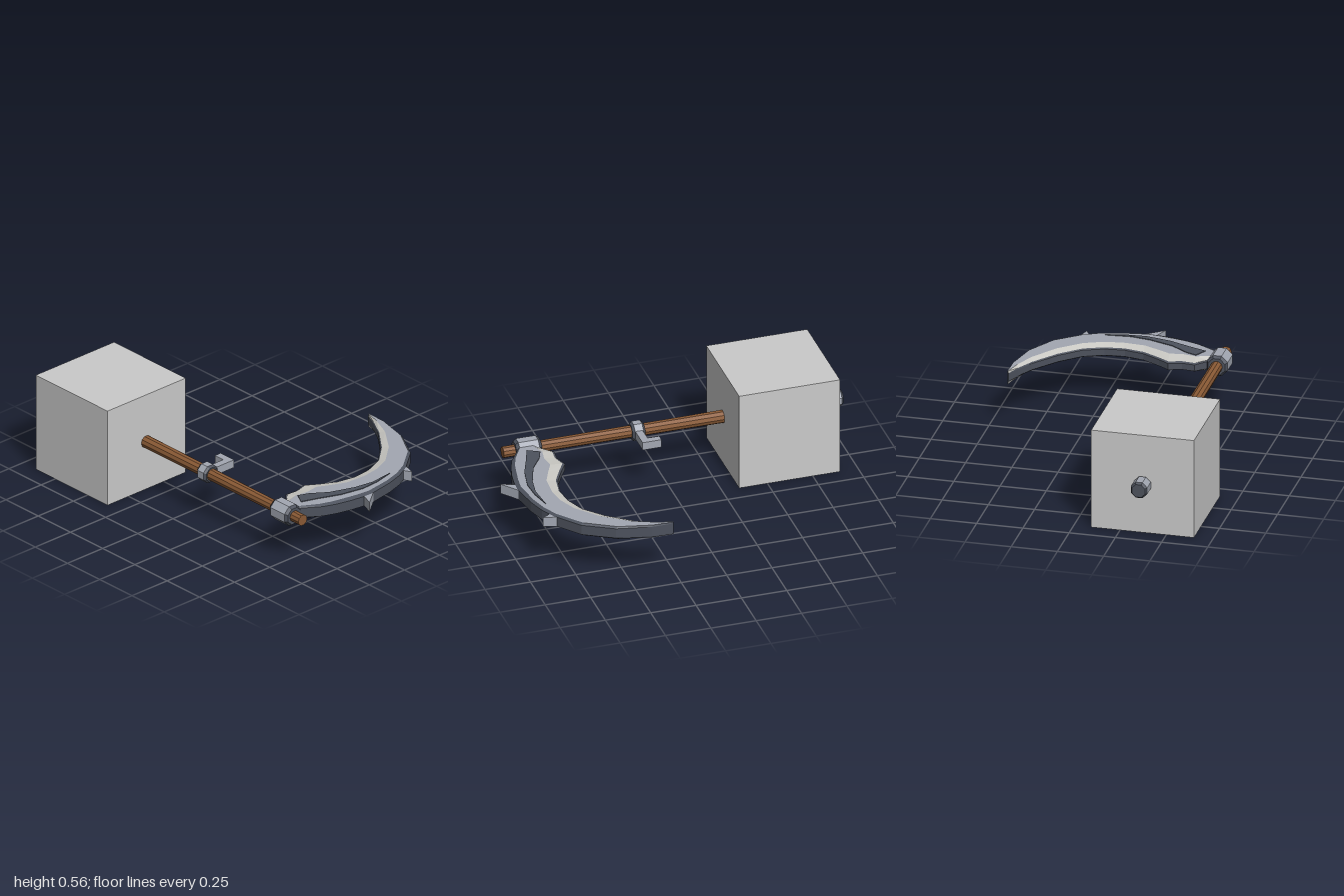
import * as THREE from 'three';

const mat = (name, color, flat = true) => {
  const m = new THREE.MeshStandardMaterial({ color, flatShading: flat });
  m.name = name;
  return m;
};

export function createModel() {
  const wood = mat('wood', 0x8a5a35);
  const steel = mat('steel', 0xa2a7b2);
  const darkSteel = mat('dark steel', 0x4d525d);
  const edgeSteel = mat('ground edge', 0xcac9c4);
  const grey = mat('block grey', 0xcacaca);
  const model = new THREE.Group();
  const Y = 0.28, Z = 0.375; // shaft axis

  const add = (name, geo, material, x = 0, y = 0, z = 0, parent = model) => {
    const m = new THREE.Mesh(geo, material);
    m.name = name;
    m.position.set(x, y, z);
    parent.add(m);
    return m;
  };

  // Block around the lower shaft
  add('block', new THREE.BoxGeometry(0.556, 0.556, 0.556), grey, -0.622, 0.278, 0.372);

  // Slightly tapering shaft along x
  const shaft = new THREE.CylinderGeometry(0.031, 0.037, 1.77, 10).rotateZ(-Math.PI / 2);
  add('shaft', shaft, wood, -0.015, Y, Z);

  // Octagonal collars with chamfered ends
  const collar = (name, x0, x1, r, chamfer) => {
    const g = new THREE.Group();
    g.name = name;
    g.position.set((x0 + x1) / 2, Y, Z);
    model.add(g);
    const len = x1 - x0, body = len - 2 * chamfer;
    const turn = geo => geo.rotateY(Math.PI / 8).rotateZ(-Math.PI / 2);
    add(name + 'Body', turn(new THREE.CylinderGeometry(r, r, body, 8, 1, true)), steel, 0, 0, 0, g);
    for (const s of [-1, 1]) {
      const top = s > 0 ? r * 0.8 : r, bottom = s > 0 ? r : r * 0.8;
      add(name + 'End', turn(new THREE.CylinderGeometry(top, bottom, chamfer, 8)), darkSteel,
        s * (body + chamfer) / 2, 0, 0, g);
    }
  };
  collar('pommel', -1, -0.9, 0.048, 0.012);
  collar('gripCollar', 0.095, 0.165, 0.053, 0.012);
  collar('bladeCollar', 0.665, 0.805, 0.061, 0.016);

  // Bent side grip
  add('gripArm', new THREE.BoxGeometry(0.04, 0.045, 0.13), steel, 0.132, Y, 0.27);
  add('gripHandle', new THREE.BoxGeometry(0.104, 0.045, 0.04), steel, 0.1, Y, 0.225);

  // Blade stations: inner x, z, outer x, z
  const stations = [
    [0.684, 0.325, 0.79, 0.345], [0.62, 0.267, 0.866, 0.23], [0.626, 0.198, 0.893, 0.16],
    [0.604, 0.128, 0.914, 0.08], [0.642, 0.07, 0.925, 0.01], [0.695, -0.027, 0.93, -0.06],
    [0.717, -0.134, 0.904, -0.214], [0.706, -0.24, 0.875, -0.31], [0.663, -0.348, 0.834, -0.39],
    [0.567, -0.455, 0.727, -0.524], [0.433, -0.561, 0.567, -0.615], [0.34, -0.615, 0.38, -0.655],
    [0.262, -0.648, 0.262, -0.654],
  ];
  // Cross-section: fraction from inner to outer edge, height
  const upper = [[0, 0.018], [0.05, 0.024], [0.28, 0.037], [0.91, 0.037], [1, 0.028]];
  const ring = [...upper, ...upper.map(([t, h]) => [t, -h]).reverse()];
  const n = ring.length;
  const point = (i, k) => {
    const [ix, iz, ox, oz] = stations[i], [t, h] = ring[k % n];
    return [ix + (ox - ix) * t, Y + h, iz + (oz - iz) * t];
  };
  const mesh = (name, pos, material) => {
    const geo = new THREE.BufferGeometry();
    geo.setAttribute('position', new THREE.Float32BufferAttribute(pos, 3));
    geo.computeVertexNormals();
    add(name, geo, material);
  };
  const bands = (name, ks, material, caps = false) => {
    const pos = [], last = stations.length - 1;
    for (const k of ks) for (let i = 0; i < last; i++) {
      const a = point(i, k), b = point(i, k + 1), c = point(i + 1, k + 1), d = point(i + 1, k);
      pos.push(...a, ...b, ...c, ...a, ...c, ...d);
    }
    if (caps) for (let k = 1; k < n - 1; k++) {
      pos.push(...point(0, 0), ...point(0, k + 1), ...point(0, k));
      pos.push(...point(last, 0), ...point(last, k), ...point(last, k + 1));
    }
    mesh(name, pos, material);
  };
  bands('bladeRim', [0, 3, 4, 5, 8, 9], darkSteel, true);
  bands('bladeEdge', [1, 7], edgeSteel);
  bands('bladeFace', [2, 6], steel);

  // Flat plates cut in the x-z plane
  const plate = (pts, depth) => {
    const shape = new THREE.Shape(pts.map(([x, z]) => new THREE.Vector2(x, -z)));
    return new THREE.ExtrudeGeometry(shape, { depth, bevelEnabled: false }).rotateX(-Math.PI / 2);
  };
  // Dark inlay on both faces
  const inlay = plate([
    [0.84, -0.273], [0.866, -0.16], [0.872, -0.053], [0.845, 0.08], [0.797, 0.198], [0.765, 0.29],
    [0.7, 0.255], [0.722, 0.198], [0.786, 0.107], [0.834, -0.027], [0.852, -0.134],
  ], 0.006);
  add('upperInlay', inlay, darkSteel, 0, Y + 0.035, 0);
  add('lowerInlay', inlay, darkSteel, 0, Y - 0.041, 0);

  // Spikes on the back of the blade
  const spikes = [
    [[0.8, -0.41], [0.892, -0.383], [0.83, -0.35]],
    [[0.915, -0.09], [0.998, 0.017], [0.915, -0.015]],
  ];
  for (const pts of spikes) add('backSpike', plate(pts, 0.056), steel, 0, Y - 0.028, 0);

  return model;
}
